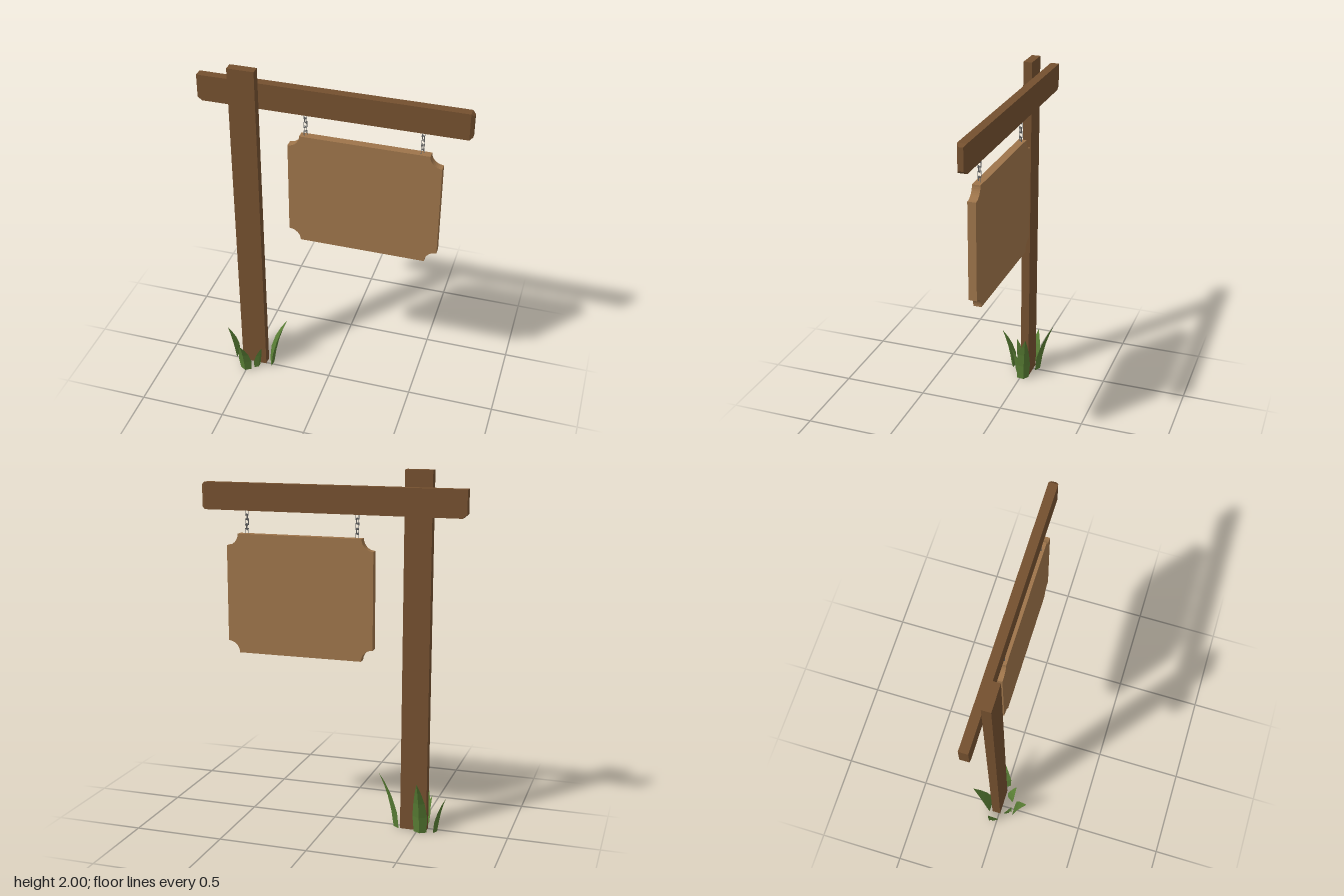
import * as THREE from 'three';

const mat = (color) => new THREE.MeshStandardMaterial({ color, flatShading: true, side: THREE.DoubleSide });
const wood = mat(0x74502f), boardWood = mat(0x9d744a), grass = mat(0x5a8035), metal = mat(0x666666);

function add(parent, name, geometry, material) {
  const mesh = new THREE.Mesh(geometry, material);
  mesh.name = name;
  parent.add(mesh);
  return mesh;
}

// Beam: a box with a clipped lower corner on one end and a tapered other end
function beamGeometry() {
  const xs = [-0.745, -0.722, 0.726, 0.743];
  const g = new THREE.BoxGeometry(3, 0.15, 0.05, 3, 1, 1);
  const p = g.attributes.position;
  for (let i = 0; i < p.count; i++) {
    const k = Math.round(p.getX(i) + 1.5);
    let y = p.getY(i), z = p.getZ(i);
    if (k === 0 && y < 0) y += 0.02;
    if (k === 3) { y -= Math.sign(y) * 0.015; z -= Math.sign(z) * 0.012; }
    p.setXYZ(i, xs[k], y, z);
  }
  return g;
}

// Board: a rectangle with a scooped quarter circle at each corner
function boardGeometry(w, h, r, depth) {
  const s = new THREE.Shape();
  s.moveTo(w - r, -h);
  s.absarc(w, -h, r, Math.PI, Math.PI / 2, true);
  s.absarc(w, h, r, -Math.PI / 2, -Math.PI, true);
  s.absarc(-w, h, r, 0, -Math.PI / 2, true);
  s.absarc(-w, -h, r, Math.PI / 2, 0, true);
  s.closePath();
  return new THREE.ExtrudeGeometry(s, { depth, bevelEnabled: false, curveSegments: 5 });
}

// Blade: triangular sections that bend outward and shrink to a tip
function bladeGeometry(base, tip, width) {
  const dx = tip[0] - base[0], dz = tip[2] - base[1];
  const len = Math.hypot(dx, dz), ox = dx / len, oz = dz / len;
  const pos = [], index = [];
  const levels = [[0, 0.85], [0.3, 1], [0.58, 0.75], [0.8, 0.42], [1, 0.01]];
  for (const [t, k] of levels) {
    const bend = t ** 1.9, w = width * k / 2, ridge = width * k * 0.3;
    const x = base[0] + dx * bend, z = base[1] + dz * bend, y = tip[1] * t;
    pos.push(x - oz * w, y, z + ox * w);
    pos.push(x + ox * ridge, y, z + oz * ridge);
    pos.push(x + oz * w, y, z - ox * w);
  }
  for (let i = 0; i < levels.length - 1; i++) {
    for (let j = 0; j < 3; j++) {
      const a = i * 3 + j, b = i * 3 + (j + 1) % 3;
      index.push(a, a + 3, b, b, a + 3, b + 3);
    }
  }
  index.push(0, 1, 2);
  const g = new THREE.BufferGeometry();
  g.setAttribute('position', new THREE.Float32BufferAttribute(pos, 3));
  g.setIndex(index);
  g.computeVertexNormals();
  return g;
}

export function createModel() {
  const model = new THREE.Group();
  model.name = 'hangingSign';

  add(model, 'post', new THREE.BoxGeometry(0.15, 2, 0.05), wood).position.set(-0.475, 1, -0.018);
  add(model, 'beam', beamGeometry(), wood).position.set(0, 1.835, -0.07);
  add(model, 'signBoard', boardGeometry(0.422, 0.336, 0.066, 0.045), boardWood)
    .position.set(0.178, 1.295, -0.088);

  // Chains: square links, each turned a quarter from the last
  const link = new THREE.TorusGeometry(0.013, 0.0025, 4, 4).rotateZ(Math.PI / 4).scale(1, 1.75, 1);
  for (const x of [-0.148, 0.487]) {
    const chain = new THREE.Group();
    chain.name = 'chain';
    for (let i = 0; i < 5; i++) {
      const m = add(chain, 'chainLink', link, metal);
      m.position.set(x, 1.642 + i * 0.027, -0.065);
      m.rotation.y = Math.PI / 4 + i * Math.PI / 2;
    }
    model.add(chain);
  }

  // Grass tuft: base (x, z), tip (x, y, z), width
  const tuft = new THREE.Group();
  tuft.name = 'grassTuft';
  const blades = [
    [[-0.378, -0.015], [-0.28, 0.32, -0.06], 0.085],
    [[-0.52, -0.06], [-0.52, 0.315, -0.165], 0.085],
    [[-0.593, -0.025], [-0.655, 0.2, -0.027], 0.065],
    [[-0.505, 0.08], [-0.505, 0.235, 0.163], 0.08],
    [[-0.525, 0.045], [-0.553, 0.165, 0.085], 0.055],
    [[-0.447, 0.04], [-0.402, 0.175, 0.07], 0.055],
  ];
  for (const b of blades) add(tuft, 'grassBlade', bladeGeometry(...b), grass);
  model.add(tuft);
  return model;
}
